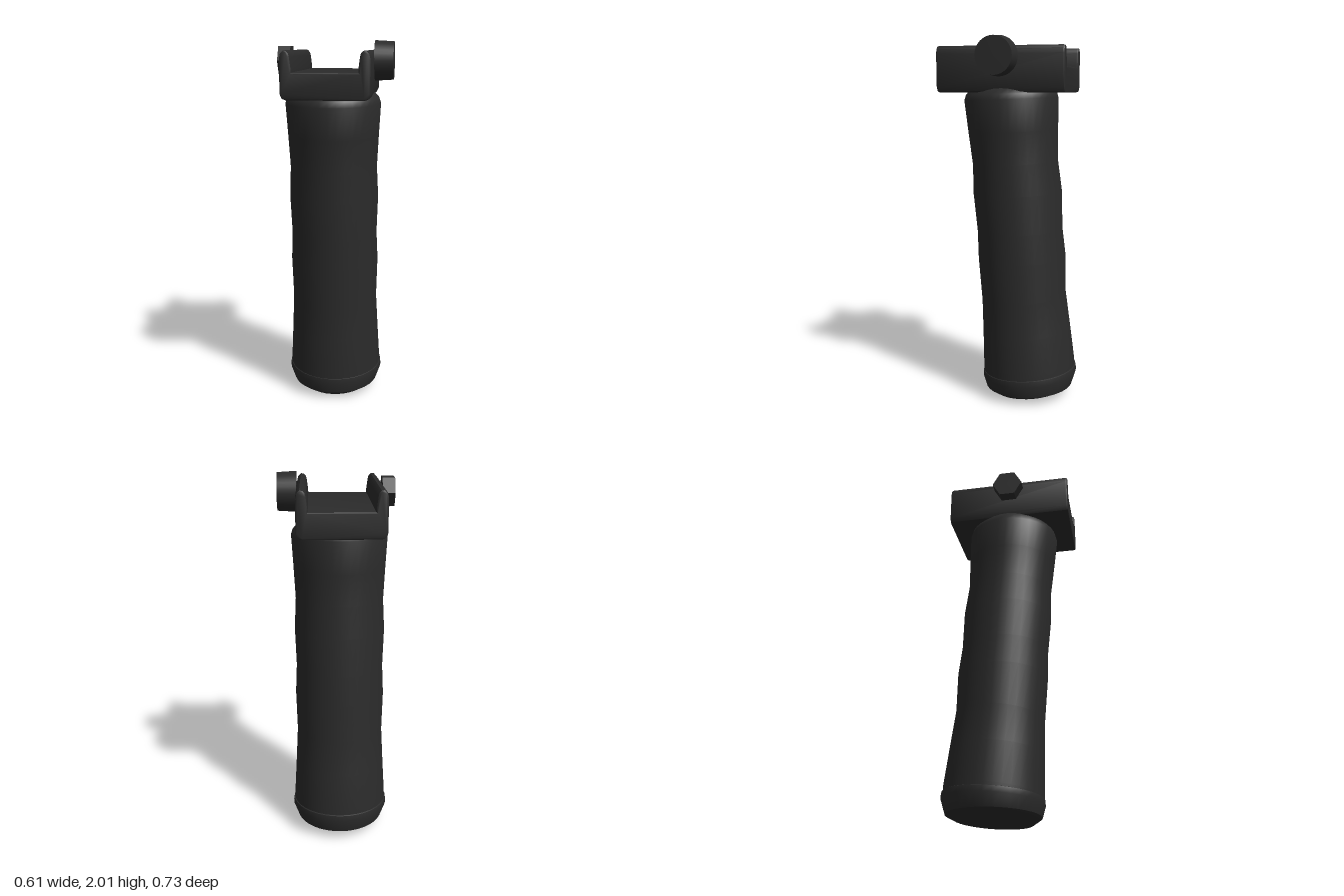
import * as THREE from 'three';
import { toCreasedNormals } from 'three/addons/utils/BufferGeometryUtils.js';

const CX = -0.02; // sideways centre of grip and clamp

// Leaning loft: each ring is [front y, front z, back y, back z, half width]
function loft(rings, seg = 36) {
  const pos = [], idx = [];
  for (const [yF, zF, yB, zB, hw] of rings) {
    for (let j = 0; j < seg; j++) {
      const a = (j / seg) * Math.PI * 2;
      const t = (1 - Math.cos(a)) / 2;
      pos.push(CX + hw * Math.sin(a), yF + (yB - yF) * t, zF + (zB - zF) * t);
    }
  }
  for (let i = 0; i < rings.length - 1; i++) {
    for (let j = 0; j < seg; j++) {
      const k = (j + 1) % seg;
      const a = i * seg + j, b = i * seg + k, c = a + seg, d = b + seg;
      idx.push(a, b, d, a, d, c);
    }
  }
  // close both ends with a centre point
  const last = (rings.length - 1) * seg;
  for (const [ring, start, flip] of [[rings[0], 0, true], [rings[rings.length - 1], last, false]]) {
    const centre = pos.length / 3;
    pos.push(CX, (ring[0] + ring[2]) / 2, (ring[1] + ring[3]) / 2);
    for (let j = 0; j < seg; j++) {
      const a = start + j, b = start + ((j + 1) % seg);
      idx.push(centre, flip ? b : a, flip ? a : b);
    }
  }
  const g = new THREE.BufferGeometry();
  g.setAttribute('position', new THREE.Float32BufferAttribute(pos, 3));
  g.setIndex(idx);
  return toCreasedNormals(g, 0.6);
}

export function createModel() {
  const model = new THREE.Group();
  const black = new THREE.MeshStandardMaterial({ color: 0x2b2b2b });
  black.name = 'matteBlack';
  const add = (name, geometry) => {
    const mesh = new THREE.Mesh(geometry, black);
    mesh.name = name;
    model.add(mesh);
    return mesh;
  };

  // Handle with shallow finger waves and a rounded shoulder
  add('grip', loft([
    [0.09, 0.165, 0.14, -0.358, 0.262],
    [0.14, 0.168, 0.2, -0.355, 0.262],
    [0.36, 0.172, 0.4, -0.328, 0.25],
    [0.55, 0.177, 0.6, -0.3, 0.24],
    [0.79, 0.197, 0.81, -0.296, 0.246],
    [0.95, 0.202, 0.97, -0.276, 0.239],
    [1.16, 0.224, 1.18, -0.27, 0.246],
    [1.32, 0.226, 1.35, -0.246, 0.238],
    [1.5, 0.25, 1.52, -0.245, 0.247],
    [1.67, 0.271, 1.69, -0.244, 0.257],
    [1.7, 0.263, 1.715, -0.237, 0.248],
    [1.735, 0.235, 1.74, -0.21, 0.222],
    [1.76, 0.17, 1.76, -0.15, 0.16],
  ]));

  // Tilted end cap at the foot
  add('endCap', loft([
    [0, 0.03, 0.015, -0.2, 0.11],
    [0.008, 0.11, 0.036, -0.3, 0.2],
    [0.04, 0.155, 0.058, -0.342, 0.245],
    [0.1, 0.172, 0.14, -0.367, 0.27],
    [0.13, 0.17, 0.17, -0.362, 0.266],
    [0.14, 0.15, 0.18, -0.34, 0.245],
  ]));

  // U-shaped clamp, extruded front to back
  const s = new THREE.Shape();
  const half = [
    [0.195, 1.715], [0.214, 1.722], [0.225, 1.745], [0.225, 1.915],
    [0.219, 1.94], [0.204, 1.955], [0.188, 1.953], [0.176, 1.94],
    [0.172, 1.925], [0.164, 1.865], [0.164, 1.85],
  ];
  const outline = [...half, ...half.map(([x, y]) => [-x, y]).reverse()];
  s.setFromPoints(outline.map(([x, y]) => new THREE.Vector2(CX + x, y)));
  const clamp = new THREE.ExtrudeGeometry(s, {
    depth: 0.67, bevelEnabled: true, bevelThickness: 0.01,
    bevelSize: 0.008, bevelOffset: -0.008, bevelSegments: 2,
  });
  clamp.translate(0, 0, -0.315);
  add('clamp', toCreasedNormals(clamp, 0.6));

  // Round clamping knob, tapering outward
  const knob = add('knob', new THREE.CylinderGeometry(0.104, 0.098, 0.1, 32));
  knob.rotation.z = Math.PI / 2;
  knob.position.set(0.253, 1.901, 0.022);

  // Hexagonal nut on the opposite wall, points facing front and back
  const hex = new THREE.CylinderGeometry(0.084, 0.084, 0.065, 6).toNonIndexed();
  hex.computeVertexNormals();
  const nut = add('hexNut', hex);
  nut.rotation.z = Math.PI / 2;
  nut.position.set(-0.2725, 1.901, 0.023);

  return model;
}
